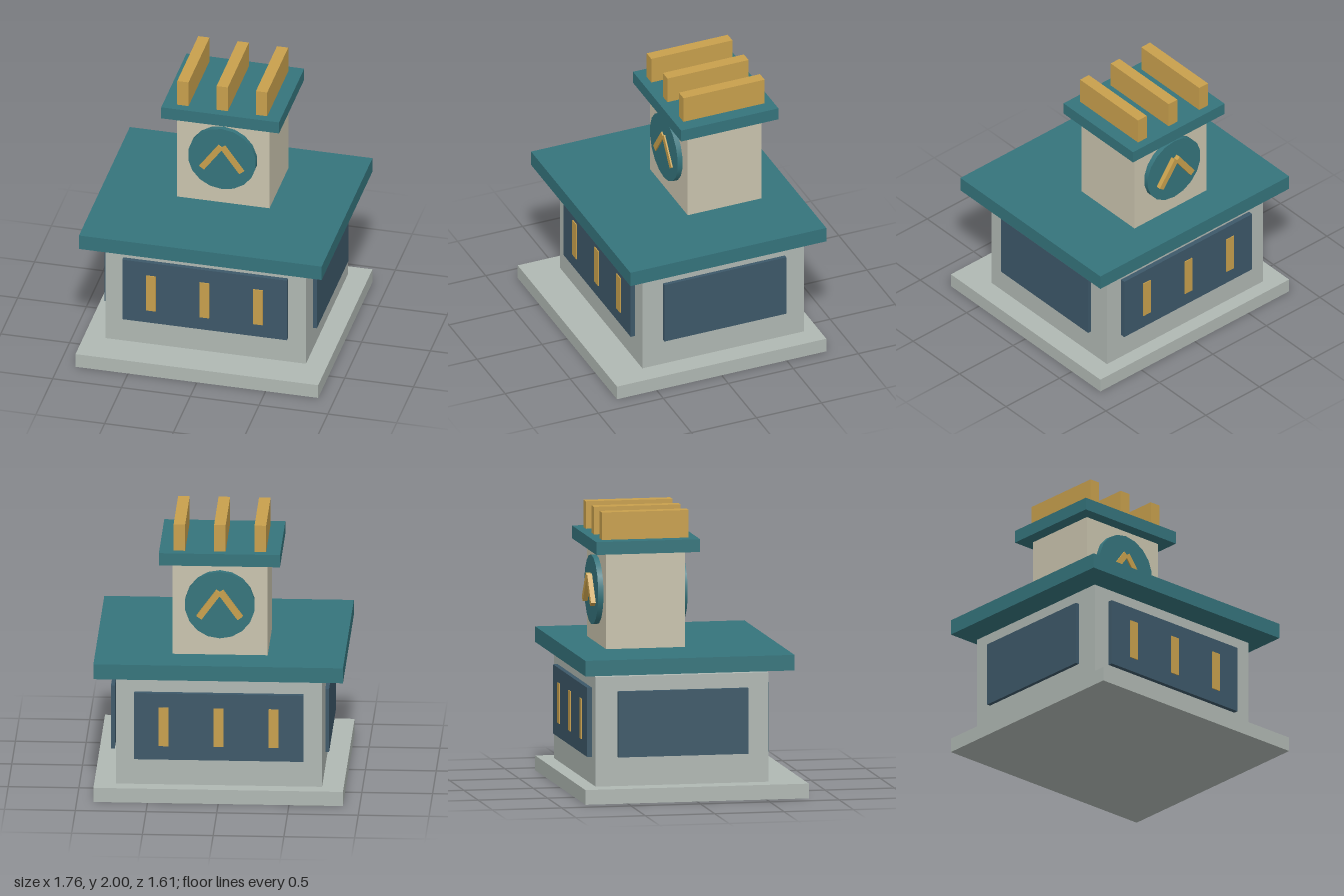
import * as THREE from 'three';

const mat = (name, color) => {
  const m = new THREE.MeshStandardMaterial({ color });
  m.name = name;
  return m;
};

export function createModel() {
  const stone = mat('grey stone', 0xb0b8b3);
  const teal = mat('teal roof', 0x35747c);
  const cream = mat('cream wall', 0xcac4ae);
  const glass = mat('dark blue glass', 0x3d5869);
  const gold = mat('gold trim', 0xc8a04d);

  const model = new THREE.Group();
  model.name = 'clockTowerBuilding';

  // Box given by its extents along each axis
  const box = (name, material, [x0, x1], [y0, y1], [z0, z1]) => {
    const mesh = new THREE.Mesh(new THREE.BoxGeometry(x1 - x0, y1 - y0, z1 - z0), material);
    mesh.position.set((x0 + x1) / 2, (y0 + y1) / 2, (z0 + z1) / 2);
    mesh.name = name;
    model.add(mesh);
    return mesh;
  };

  // Stacked masses
  box('base', stone, [-0.882, 0.882], [0, 0.105], [-0.805, 0.805]);
  box('body', stone, [-0.729, 0.729], [0.105, 0.885], [-0.7, 0.544]);
  box('mainRoof', teal, [-0.882, 0.882], [0.915, 1.026], [-0.805, 0.702]);
  box('tower', cream, [-0.337, 0.337], [1.026, 1.713], [-0.544, 0.025]);
  box('towerCap', teal, [-0.428, 0.428], [1.713, 1.804], [-0.633, 0.115]);

  // Roof fins
  for (const x of [-0.286, 0, 0.286])
    box('roofFin', gold, [x - 0.041, x + 0.041], [1.804, 2], [-0.571, 0.053]);

  // Front and back windows with slats
  for (const [side, z0, z1, s0, s1] of [
    ['front', 0.544, 0.577, 0.57, 0.584],
    ['back', -0.735, -0.7, -0.741, -0.73],
  ]) {
    box(side + 'Window', glass, [-0.598, 0.598], [0.3, 0.793], [z0, z1]);
    for (const x of [-0.389, 0, 0.389])
      box(side + 'WindowSlat', gold, [x - 0.035, x + 0.035], [0.402, 0.689], [s0, s1]);
  }

  // Side windows, set just off the walls
  for (const s of [-1, 1])
    box(s > 0 ? 'leftWindow' : 'rightWindow', glass,
      s > 0 ? [0.744, 0.771] : [-0.771, -0.744], [0.314, 0.783], [-0.545, 0.392]);

  // Clock faces and hands
  for (const [side, z0, z1, h0, h1] of [
    ['front', 0.025, 0.063, 0.04, 0.074],
    ['back', -0.582, -0.544, -0.617, -0.582],
  ]) {
    const face = new THREE.Mesh(new THREE.CylinderGeometry(0.248, 0.248, z1 - z0, 18), teal);
    face.rotation.x = Math.PI / 2;
    face.position.set(0, 1.407, (z0 + z1) / 2);
    face.name = side + 'ClockFace';
    model.add(face);
    for (const s of [-1, 1]) {
      const hand = box(side + 'ClockHand', gold,
        [s * 0.076 - 0.022, s * 0.076 + 0.022], [1.298, 1.534], [h0, h1]);
      hand.rotation.z = s * 0.628;
    }
  }
  return model;
}
